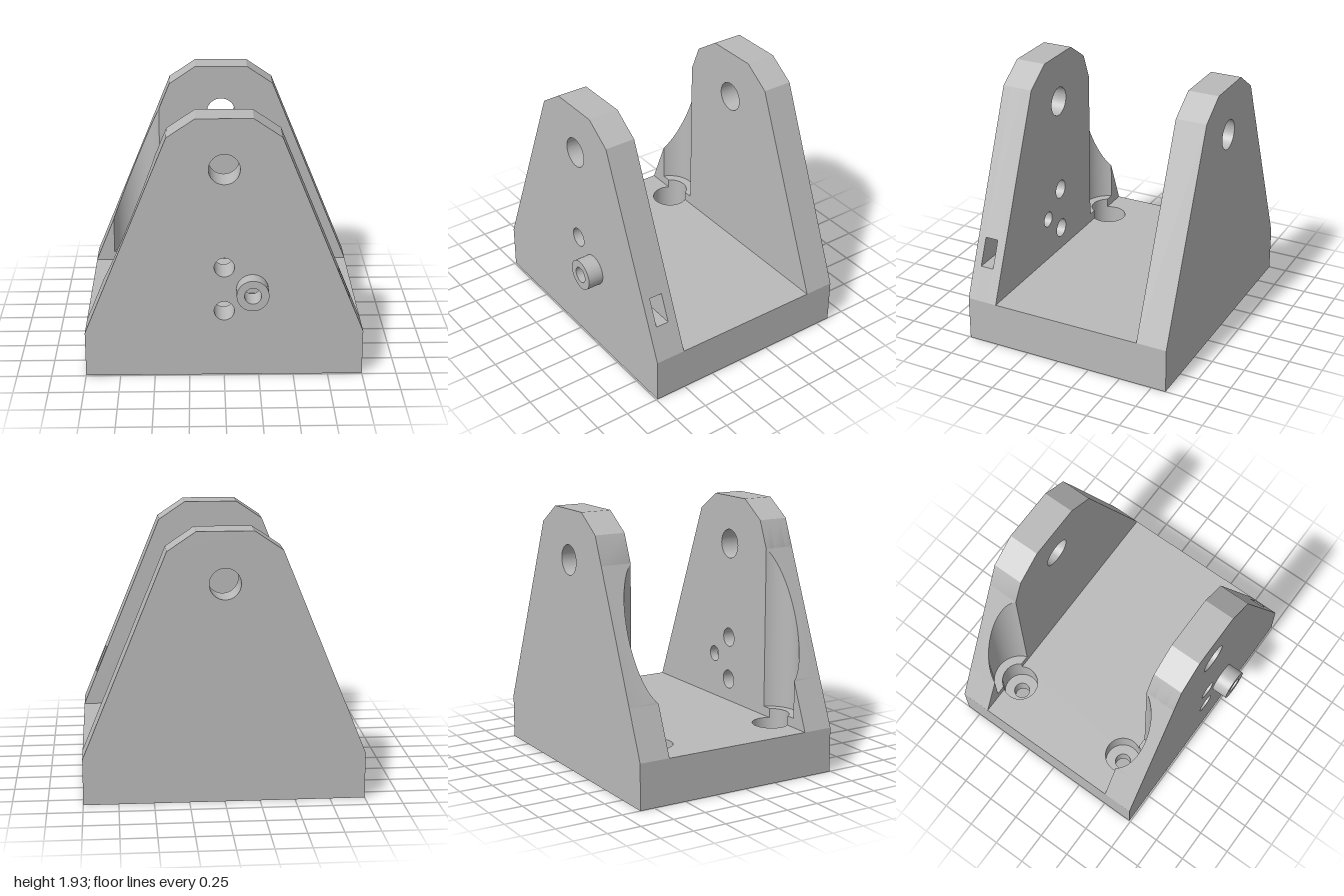
import * as THREE from 'three';
import { toCreasedNormals } from 'three/addons/utils/BufferGeometryUtils.js';

const BASE = 0.335, SHOULDER = 1.8, TOP = 1.935;
const INNER = 0.57, OUTER = 0.8;            // wall faces, measured from the middle plane
const BOLT_X = -0.67, BOLT_Z = 0.5;         // bolt holes, mirrored in z
const POCKET_R = 0.2, BORE_R = 0.135, SHELF = 0.405;
const HALF = Math.sqrt(POCKET_R ** 2 - (INNER - BOLT_Z) ** 2);
const X0 = BOLT_X - HALF, X1 = BOLT_X + HALF; // pocket limits on the inner face

// Sloped wall edge: height at x, and x at a height
const slopeY = (x) => BASE + (1 - Math.abs(x)) * (SHOULDER - BASE) / 0.6;
const slopeX = (y) => 1 - (y - BASE) * 0.6 / (SHOULDER - BASE);

function shapeOf(points, holes = []) {
  const shape = new THREE.Shape(points.map(([x, y]) => new THREE.Vector2(x, y)));
  for (const [x, y, r] of holes) {
    shape.holes.push(new THREE.Path().absarc(x, y, r, 0, Math.PI * 2, true));
  }
  return shape;
}

const extrude = (shape, depth) =>
  new THREE.ExtrudeGeometry(shape, { depth, bevelEnabled: false, curveSegments: 40 });

// Prism standing along z, between two z values
const prismZ = (shape, z0, z1) =>
  extrude(shape, Math.abs(z1 - z0)).translate(0, 0, Math.min(z0, z1));

// Prism standing along y; the shape is drawn in (x, -z)
const prismY = (shape, y0, y1) =>
  extrude(shape, y1 - y0).rotateX(-Math.PI / 2).translate(0, y0, 0);

// Footprint of the wall behind the pocket, with a round bite in its inner edge
function bittenFootprint(side, radius) {
  const d = INNER - BOLT_Z;
  const a0 = Math.asin(d / radius), a1 = Math.PI - a0;
  const pts = [[X0, INNER], [X0, OUTER], [X1, OUTER], [X1, INNER]];
  for (let i = 0; i <= 24; i++) {
    const a = a0 + (a1 - a0) * i / 24;
    pts.push([BOLT_X + radius * Math.cos(a), BOLT_Z + radius * Math.sin(a)]);
  }
  // the full-width pocket meets the corners exactly, so drop its doubled ends
  if (radius === POCKET_R) { pts.pop(); pts.splice(4, 1); }
  return shapeOf(pts.map(([x, z]) => [x, -side * z]));
}

export function createModel() {
  const grey = new THREE.MeshStandardMaterial({ color: 0xbababa });
  grey.name = 'machined grey';

  const model = new THREE.Group();
  model.name = 'clevisBracket';
  const body = new THREE.Group();
  body.name = 'body';
  body.position.z = -0.06;
  model.add(body);

  const add = (name, geometry, parent = body) => {
    const mesh = new THREE.Mesh(toCreasedNormals(geometry, 0.5), grey);
    mesh.name = name;
    parent.add(mesh);
  };

  // Base plate with two counterbored bolt holes
  const plate = [[-1, -OUTER], [1, -OUTER], [1, OUTER], [-1, OUTER]];
  const bolts = (r) => [[BOLT_X, BOLT_Z, r], [BOLT_X, -BOLT_Z, r]];
  add('basePlateLower', prismY(shapeOf(plate, bolts(0.06)), 0, 0.14));
  add('basePlateUpper', prismY(shapeOf(plate, bolts(BORE_R)), 0.14, BASE));

  // Upright outline right of the pocket, optionally with the side slot cut in
  const slot = [[slopeX(0.57), 0.57], [0.14, 0.57], [0.14, 0.77], [slopeX(0.77), 0.77]];
  const outline = (slotted) => [
    [X1, BASE], [1, BASE], ...(slotted ? slot : []),
    [0.4, SHOULDER], [0.2, TOP], [-0.2, TOP], [-0.4, SHOULDER], [X1, slopeY(X1)],
  ];
  const pivot = [0, 1.57, 0.11];
  const pin = [0.2, 0.67, 0.06];
  const frontHoles = [pivot, [0, 0.84, 0.072], [0, 0.505, 0.072]];

  for (const side of [1, -1]) {
    const wall = new THREE.Group();
    wall.name = side > 0 ? 'frontWall' : 'backWall';
    body.add(wall);

    // Main plate; the front one is layered around its slot
    if (side > 0) {
      const solid = shapeOf(outline(false), [...frontHoles, pin]);
      add('wallInnerLayer', prismZ(solid, INNER, 0.64), wall);
      add('wallSlotLayer', prismZ(shapeOf(outline(true), frontHoles), 0.64, 0.74), wall);
      add('wallOuterLayer', prismZ(solid, 0.74, OUTER), wall);
    } else {
      add('wallPlate', prismZ(shapeOf(outline(false), [pivot]), -INNER, -OUTER), wall);
    }

    // Thin corner left of the pocket
    const corner = shapeOf([[-1, BASE], [X0, BASE], [X0, slopeY(X0)]]);
    add('wallCorner', prismZ(corner, side * INNER, side * OUTER), wall);

    // Shelf under the pocket, bitten by the counterbore
    add('pocketShelf', prismY(bittenFootprint(side, BORE_R), BASE, SHELF), wall);

    // Hollowed wall behind the pocket, its top sheared to the slope
    const hollow = prismY(bittenFootprint(side, POCKET_R), SHELF, 1);
    const p = hollow.attributes.position;
    for (let i = 0; i < p.count; i++) {
      if (p.getY(i) > 0.9) p.setY(i, slopeY(p.getX(i)));
    }
    hollow.computeVertexNormals();
    add('pocketWall', hollow, wall);
  }

  // Round boss around the pin hole
  const ring = new THREE.Shape().absarc(pin[0], pin[1], 0.115, 0, Math.PI * 2);
  ring.holes.push(new THREE.Path().absarc(...pin, 0, Math.PI * 2, true));
  add('pinBoss', prismZ(ring, OUTER, 0.918));

  return model;
}
